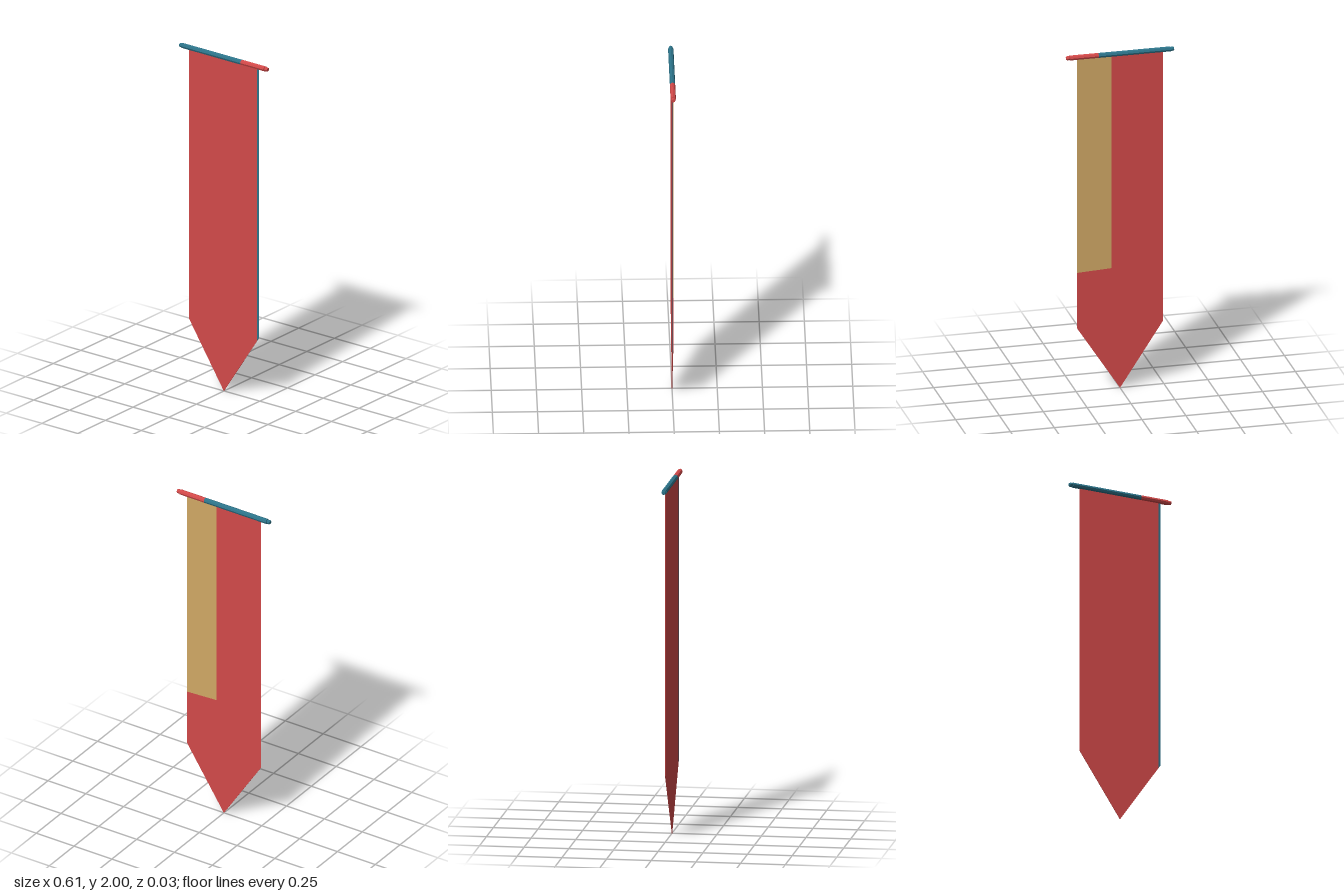
import * as THREE from 'three';

const paint = (name, color) => {
  const m = new THREE.MeshStandardMaterial({ color });
  m.name = name;
  return m;
};

export function createModel() {
  const red = paint('red', 0xd24949);
  const teal = paint('teal', 0x2c7389);
  const tan = paint('tan', 0xd0a865);
  const model = new THREE.Group();
  model.name = 'banner';

  const add = (name, geometry, material) => {
    const mesh = new THREE.Mesh(geometry, material);
    mesh.name = name;
    model.add(mesh);
    return mesh;
  };

  // Cloth: a front and a back layer, each split into its coloured panels
  const W = 0.245, TOP = 1.985, SHOULDER = 0.375, THICK = 0.0015;
  const hem = (x) => SHOULDER * (Math.abs(x) / W);
  const panel = (name, points, z, material) => {
    const shape = new THREE.Shape(points.map(([x, y]) => new THREE.Vector2(x, y)));
    const geometry = new THREE.ExtrudeGeometry(shape, { depth: THICK, bevelEnabled: false });
    add(name, geometry.translate(0, 0, z), material);
  };

  const S = 0.231; // inner edge of the side stripe
  panel('frontCloth', [[-W, TOP], [-W, SHOULDER], [0, 0], [S, hem(S)], [S, TOP]], 0, red);
  panel('sideStripe', [[S, TOP], [S, hem(S)], [W, SHOULDER], [W, TOP]], 0, teal);

  const P = 0.05, PY = 0.715, PY2 = 0.705; // inner edge and foot of the back panel
  panel('backCloth', [[-W, TOP], [-W, SHOULDER], [0, 0], [W, SHOULDER], [W, PY2], [P, PY], [P, TOP]], -THICK, red);
  panel('backPanel', [[P, TOP], [P, PY], [W, PY2], [W, TOP]], -THICK, tan);

  // Crossbar: eight-sided, in two colours, with a small knob at each end
  const R = 0.015, ROD_Y = 2 - R, ROD = 0.287, SPLIT = 0.124;
  const bar = (name, x0, x1, material) => {
    const geometry = new THREE.CylinderGeometry(R, R, x1 - x0, 8).toNonIndexed();
    geometry.computeVertexNormals();
    geometry.rotateZ(-Math.PI / 2).translate((x0 + x1) / 2, ROD_Y, 0);
    add(name, geometry, material);
  };
  bar('crossbarMain', -ROD, SPLIT, teal);
  bar('crossbarTip', SPLIT, ROD, red);

  const knobProfile = [[0.010, 0], [0.0125, 0.006], [0.0125, 0.013], [0.010, 0.02], [0, 0.02]]
    .map(([r, y]) => new THREE.Vector2(r, y));
  for (const side of [-1, 1]) {
    const geometry = new THREE.LatheGeometry(knobProfile, 8).toNonIndexed();
    geometry.computeVertexNormals();
    geometry.rotateZ(-side * Math.PI / 2).translate(side * ROD, ROD_Y, 0);
    add(side > 0 ? 'leftKnob' : 'rightKnob', geometry, side > 0 ? red : teal);
  }
  return model;
}
